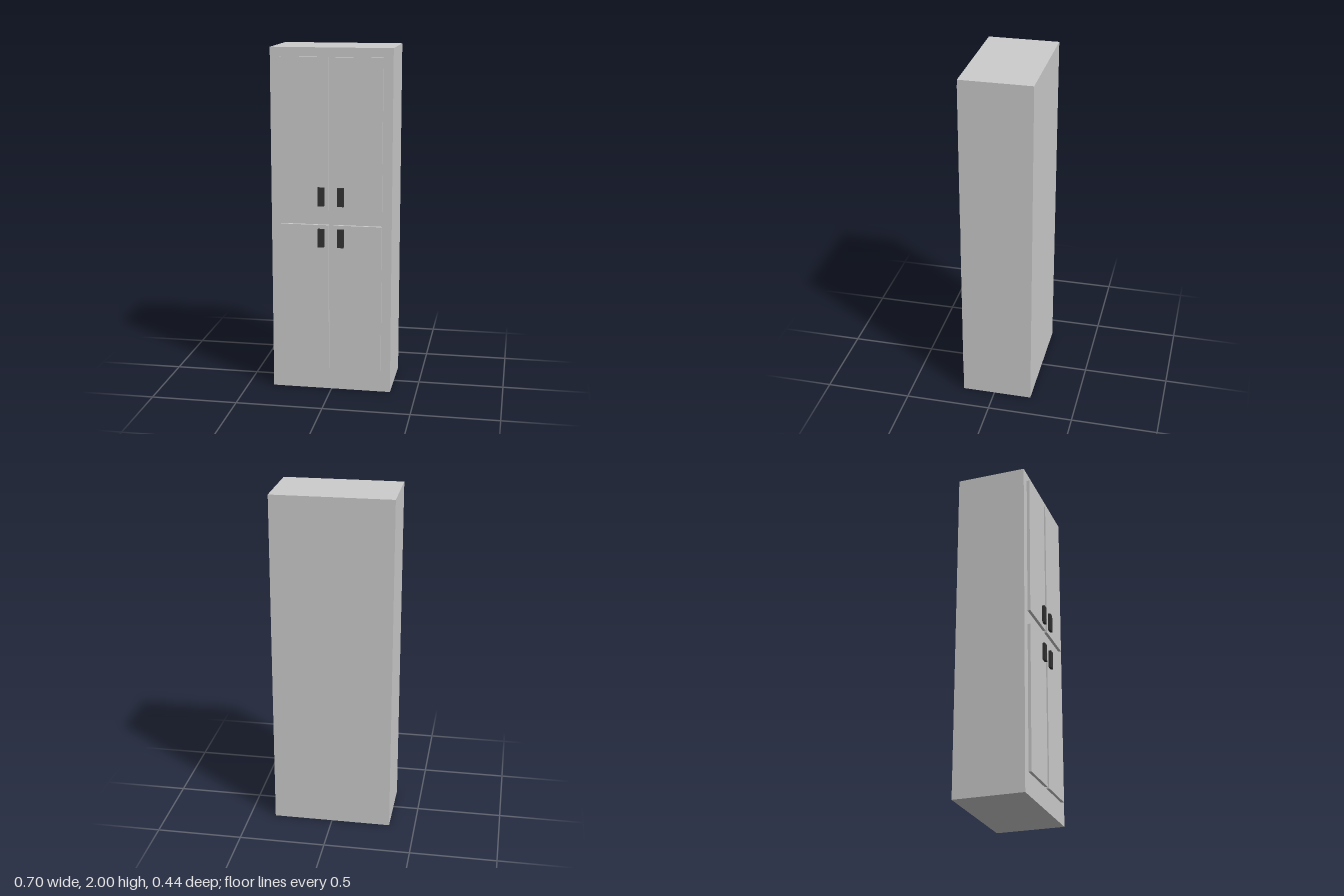
import * as THREE from 'three';

export function createModel() {
  const model = new THREE.Group();
  model.name = 'cabinet';
  const grey = new THREE.MeshStandardMaterial({ color: 0xcccccc });
  const dark = new THREE.MeshStandardMaterial({ color: 0x333333 });

  // Box given by its lower and upper limits on each axis
  function addBox(name, material, [x0, x1], [y0, y1], [z0, z1]) {
    const mesh = new THREE.Mesh(new THREE.BoxGeometry(x1 - x0, y1 - y0, z1 - z0), material);
    mesh.position.set((x0 + x1) / 2, (y0 + y1) / 2, (z0 + z1) / 2);
    mesh.name = name;
    model.add(mesh);
  }

  const bodyFront = 0.19, doorFront = 0.207, handleFront = 0.222;
  addBox('body', grey, [-0.348, 0.348], [0, 2], [-0.222, bodyFront]);

  // Two rows of mirrored doors, with the handles near the middle
  const rows = [
    { name: 'upper', door: [1.08, 1.948], handle: [1.107, 1.215] },
    { name: 'lower', door: [0.127, 0.995], handle: [0.867, 0.973] },
  ];
  for (const row of rows) {
    for (const side of [-1, 1]) {
      const label = row.name + (side > 0 ? 'Left' : 'Right');
      const span = (a, b) => (side > 0 ? [a, b] : [-b, -a]);
      addBox(label + 'Door', grey, span(0.013, 0.293), row.door, [bodyFront, doorFront]);
      addBox(label + 'Handle', dark, span(0.037, 0.075), row.handle, [doorFront, handleFront]);
    }
  }
  return model;
}
